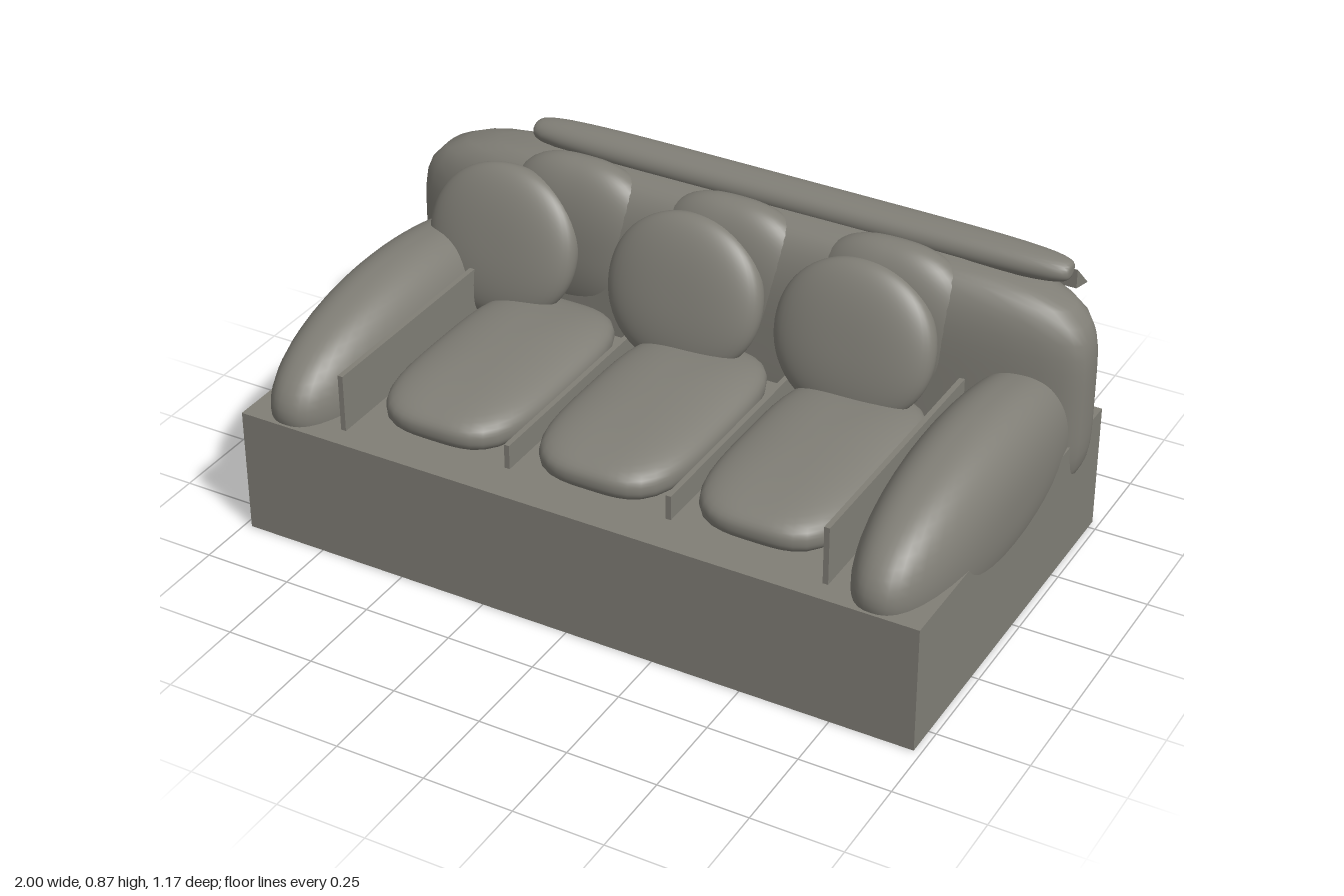
import * as THREE from 'three';
import { mergeVertices } from 'three/addons/utils/BufferGeometryUtils.js';

// Rounded pillow: a sphere squared off by exponent p in the plane across `axis`
// and by exponent q between that plane and the axis itself.
function pillowGeometry(half, axis, p, q) {
  const geo = new THREE.SphereGeometry(1, 48, 32);
  geo.deleteAttribute('uv');
  geo.deleteAttribute('normal');
  const pos = geo.attributes.position;
  const [a, b] = [0, 1, 2].filter((i) => i !== axis);
  for (let i = 0; i < pos.count; i++) {
    const d = [pos.getX(i), pos.getY(i), pos.getZ(i)];
    const plane = Math.abs(d[a]) ** p + Math.abs(d[b]) ** p;
    const r = (plane ** (q / p) + Math.abs(d[axis]) ** q) ** (1 / q);
    pos.setXYZ(i, d[0] / r * half[0], d[1] / r * half[1], d[2] / r * half[2]);
  }
  const merged = mergeVertices(geo, 1e-5);
  merged.computeVertexNormals();
  return merged;
}

export function createModel() {
  const sofa = new THREE.Group();
  sofa.name = 'sofa';
  const fabric = new THREE.MeshStandardMaterial({ color: 0x807e76 });
  fabric.name = 'warm grey fabric';

  const add = (name, geo, x, y, z) => {
    const mesh = new THREE.Mesh(geo, fabric);
    mesh.name = name;
    mesh.position.set(x, y, z);
    sofa.add(mesh);
    return mesh;
  };
  const box = (name, x0, x1, y0, y1, z0, z1) =>
    add(name, new THREE.BoxGeometry(x1 - x0, y1 - y0, z1 - z0),
      (x0 + x1) / 2, (y0 + y1) / 2, (z0 + z1) / 2);

  // Plinth and padded back
  box('base', -0.98, 0.98, 0, 0.36, -0.53, 0.585);
  add('backrest', pillowGeometry([1, 0.345, 0.158], 2, 5, 3.2), 0, 0.465, -0.383);
  box('backPanel', -0.89, 0.89, 0.14, 0.66, -0.542, -0.5);

  // Arms and the tall panels beside them
  for (const [side, s] of [['left', 1], ['right', -1]]) {
    add(side + 'Arm', pillowGeometry([0.145, 0.22, 0.56], 0, 2, 2.5), s * 0.847, 0.38, 0.02);
    const panel = box(side + 'ArmPanel', -0.0075, 0.0075, 0.3, 0.525, -0.25, 0.525);
    panel.position.x = s * 0.7;
    const divider = box(side + 'SeatDivider', -0.0075, 0.0075, 0.3, 0.43, -0.25, 0.47);
    divider.position.x = s * 0.235;
  }

  // Seat cushions with the upright cushions behind them
  const seat = pillowGeometry([0.208, 0.075, 0.36], 1, 3.6, 2.6);
  const upright = pillowGeometry([0.23, 0.235, 0.1], 2, 2.6, 2.2);
  for (const x of [-0.465, 0, 0.465]) {
    add('seatCushion', seat, x, 0.4, 0.12);
    add('backCushion', upright, x, 0.6, -0.31);
  }

  // Loose round cushions leaning on the back
  const round = pillowGeometry([0.228, 0.215, 0.07], 2, 2.1, 2.4);
  for (const x of [-0.65, -0.085, 0.415]) {
    add('throwCushion', round, x, 0.585, -0.195).rotation.x = -0.28;
  }

  // Bolster along the top
  add('headRoll', pillowGeometry([0.79, 0.045, 0.06], 0, 2, 5), 0.12, 0.82, -0.415).rotation.z = -0.008;

  // Sloping flap behind the top edge
  const profile = new THREE.Shape([
    new THREE.Vector2(0.51, 0.765),
    new THREE.Vector2(0.588, 0.69),
    new THREE.Vector2(0.51, 0.71),
  ]);
  const flap = new THREE.ExtrudeGeometry(profile, { depth: 1.55, bevelEnabled: false });
  flap.rotateY(Math.PI / 2); // profile x becomes -z, depth becomes +x
  add('backFlap', flap, -0.66, 0, 0);

  return sofa;
}
